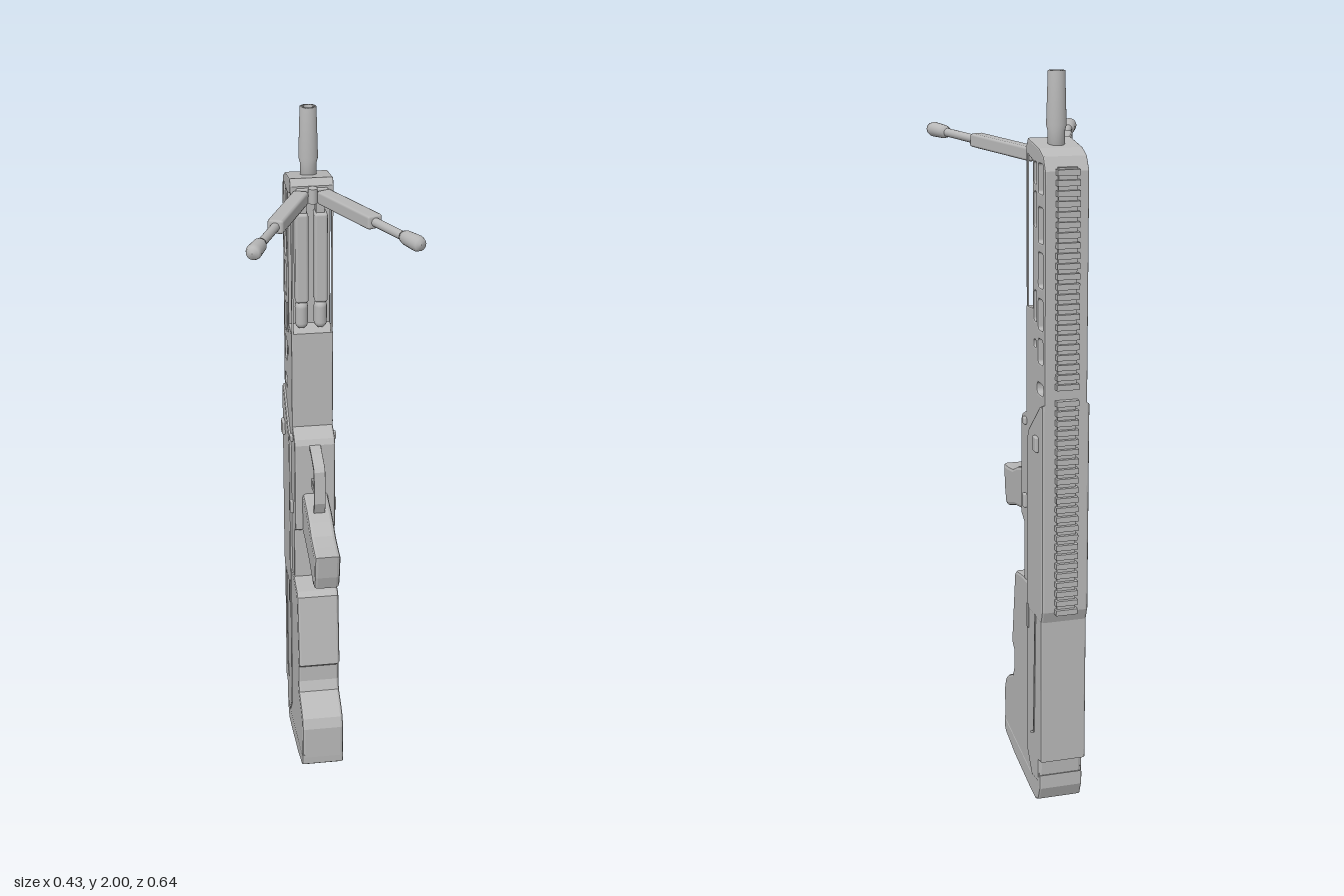
import * as THREE from 'three';
import { RoundedBoxGeometry } from 'three/addons/geometries/RoundedBoxGeometry.js';

export function createModel() {
  const model = new THREE.Group();
  model.name = 'rifle';
  const grey = new THREE.MeshStandardMaterial({ color: 0xb8b8b8 });
  grey.name = 'plain grey';

  const add = (name, geometry, x = 0, y = 0, z = 0, parent = model) => {
    const mesh = new THREE.Mesh(geometry, grey);
    mesh.name = name;
    mesh.position.set(x, y, z);
    parent.add(mesh);
    return mesh;
  };
  const box = (name, w, h, d, x, y, z, r = 0) =>
    add(name, r ? new RoundedBoxGeometry(w, h, d, 2, r) : new THREE.BoxGeometry(w, h, d), x, y, z);

  // Side outline given as [z, y], extruded across x and centred
  const profile = (name, points, half, bevel = 0.006, holes = [], x = 0) => {
    const shape = new THREE.Shape(points.map(p => new THREE.Vector2(...p)));
    shape.holes.push(...holes);
    const g = new THREE.ExtrudeGeometry(shape, {
      depth: 2 * (half - bevel), bevelEnabled: bevel > 0, bevelThickness: bevel,
      bevelSize: bevel, bevelOffset: -bevel, bevelSegments: 2, curveSegments: 8,
    });
    g.translate(0, 0, -(half - bevel));
    g.rotateY(-Math.PI / 2);
    return add(name, g, x);
  };

  // Rounded slot between z0..z1 and y0..y1
  const slot = (z0, z1, y0, y1, r = 0.008) => {
    const p = new THREE.Path();
    p.moveTo(z0 + r, y0);
    p.lineTo(z1 - r, y0); p.quadraticCurveTo(z1, y0, z1, y0 + r);
    p.lineTo(z1, y1 - r); p.quadraticCurveTo(z1, y1, z1 - r, y1);
    p.lineTo(z0 + r, y1); p.quadraticCurveTo(z0, y1, z0, y1 - r);
    p.lineTo(z0, y0 + r); p.quadraticCurveTo(z0, y0, z0 + r, y0);
    return p;
  };

  // Handguard with lightening slots and the notch for the folded grips
  const slots = [[1.70, 1.775], [1.575, 1.665], [1.46, 1.55], [1.35, 1.43], [1.26, 1.325]]
    .map(([a, b]) => slot(-0.283, -0.243, a, b));
  slots.push(slot(-0.226, -0.206, 1.61, 1.70), slot(-0.226, -0.206, 1.365, 1.445),
    slot(-0.226, -0.206, 1.72, 1.775), slot(-0.224, -0.204, 1.295, 1.315, 0.009),
    slot(-0.288, -0.233, 1.178, 1.208, 0.014));
  profile('handguard', [[-0.135, 1.08], [-0.135, 1.39], [-0.196, 1.395], [-0.196, 1.775],
    [-0.137, 1.79], [-0.137, 1.81], [-0.15, 1.828], [-0.25, 1.812], [-0.285, 1.795],
    [-0.305, 1.76], [-0.305, 1.08]], 0.058, 0.004, slots);

  // Barrel and muzzle
  add('barrel', new THREE.CylinderGeometry(0.010, 0.010, 0.66, 20), 0, 1.5, -0.21);
  add('muzzle', new THREE.LatheGeometry([[0, 1.79], [0.022, 1.79], [0.022, 1.85], [0.026, 1.865],
    [0.022, 2], [0.012, 2], [0.012, 1.93], [0, 1.93]].map(p => new THREE.Vector2(...p)), 28), 0, 0, -0.21);

  // Receiver core and the wider shell behind it
  profile('receiver', [[-0.108, 0.58], [-0.11, 0.78], [-0.08, 0.80], [-0.083, 1.07], [-0.092, 1.085],
    [-0.135, 1.105], [-0.135, 1.12], [-0.28, 1.14], [-0.28, 0.58]], 0.058);
  profile('receiverShell', [[-0.157, 0.55], [-0.157, 1.03], [-0.175, 1.065], [-0.275, 1.15],
    [-0.305, 1.16], [-0.305, 0.585], [-0.292, 0.55]], 0.065, 0.007);

  // Stock body, raised rear panel and butt pad
  profile('stock', [[-0.105, 0.622], [-0.04, 0.612], [-0.025, 0.60], [0.008, 0.38], [-0.013, 0.362],
    [-0.013, 0.31], [0, 0.28], [0.05, 0.255], [0.075, 0.235], [0.087, 0.205], [0.087, 0.10],
    [-0.20, 0.05], [-0.265, 0.06], [-0.268, 0.13], [-0.285, 0.14], [-0.285, 0.622]], 0.061, 0.008);
  profile('stockPanel', [[-0.157, 0.565], [-0.157, 0.125], [-0.205, 0.062], [-0.262, 0.068],
    [-0.265, 0.135], [-0.293, 0.14], [-0.293, 0.565]], 0.064, 0.005);
  profile('buttPad', [[0.087, 0.11], [0.085, 0.075], [0.07, 0.062], [-0.02, 0.035], [-0.175, 0.007],
    [-0.235, 0.0], [-0.258, 0.012], [-0.274, 0.05], [-0.274, 0.09], [-0.2, 0.065]], 0.062, 0.006);

  // Grip
  profile('grip', [[0.177, 0.862], [0.168, 0.79], [0.155, 0.748], [0.135, 0.746], [0.06, 0.77],
    [-0.03, 0.785], [-0.10, 0.785], [-0.10, 0.92], [-0.075, 0.915], [0.0, 0.905], [0.04, 0.893],
    [0.085, 0.873], [0.13, 0.866]], 0.036, 0.01);
  box('magazineCatch', 0.034, 0.07, 0.05, 0, 0.755, -0.088, 0.008);

  // Trigger and its guard: bands following a bent outline
  profile('triggerGuard', [[-0.09, 1.072], [-0.05, 1.062], [0.002, 1.047], [0.012, 1.035],
    [0.021, 0.94], [0.006, 0.9], [-0.004, 0.905], [0.01, 0.942], [0.002, 1.03],
    [-0.005, 1.037], [-0.05, 1.052], [-0.09, 1.058]], 0.016, 0.002);
  profile('trigger', [[-0.09, 0.967], [-0.04, 0.955], [-0.012, 0.96], [-0.01, 0.95],
    [-0.04, 0.938], [-0.09, 0.935]], 0.01, 0.002);

  // Top rails with cross teeth
  for (const [y0, y1] of [[0.58, 1.165], [1.20, 1.77]]) {
    box('railBase', 0.05, y1 - y0, 0.014, 0, (y0 + y1) / 2, -0.305);
    for (let y = y0 + 0.008; y < y1; y += 0.0262)
      box('railTooth', 0.06, 0.015, 0.02, 0, y, -0.312);
  }

  // Folded grips, side strips and small controls on both sides
  for (const s of [-1, 1]) {
    box('foldedGrip', 0.036, 0.255, 0.046, s * 0.026, 1.603, -0.165, 0.008);
    box('foldedGripNeck', 0.022, 0.07, 0.026, s * 0.024, 1.76, -0.165);
    const tip = add('foldedGripTip', new THREE.CapsuleGeometry(0.019, 0.045, 5, 16), s * 0.026, 1.437, -0.165);
    tip.scale.set(0.95, 1, 1.1);
    box('sideStrip', 0.005, 0.41, 0.006, s * 0.054, 1.588, -0.139);
    box('ejectorButton', 0.012, 0.042, 0.03, s * 0.068, 1.045, -0.257, 0.004);
    box('safetyLever', 0.012, 0.04, 0.018, s * 0.061, 0.85, -0.131, 0.004);
    box('selectorPin', 0.012, 0.02, 0.02, s * 0.06, 1.075, -0.13, 0.004);
    profile('panelRib', [[-0.24, 0.56], [-0.246, 0.56], [-0.233, 0.205], [-0.205, 0.19],
      [-0.205, 0.197], [-0.227, 0.208]], 0.002, 0, [], s * 0.0645);
    box('panelTab', 0.005, 0.07, 0.012, s * 0.064, 0.53, -0.172);
  }

  // Bipod hub and legs
  const hub = add('bipodHub', new THREE.CylinderGeometry(0.014, 0.014, 0.04, 16), 0, 1.79, -0.122);
  hub.scale.x = 0.9;
  box('bipodMount', 0.085, 0.03, 0.035, 0, 1.79, -0.147, 0.005);
  for (const s of [-1, 1]) {
    const leg = new THREE.Group();
    leg.name = 'bipodLeg';
    leg.position.set(s * 0.03, 1.783, -0.13);
    const dir = new THREE.Vector3(s * 0.173, 0.029, 0.442).normalize();
    const side = new THREE.Vector3(dir.z, 0, -dir.x).normalize();
    leg.quaternion.setFromRotationMatrix(
      new THREE.Matrix4().makeBasis(side, dir, side.clone().cross(dir)));
    add('legSleeve', new RoundedBoxGeometry(0.042, 0.266, 0.036, 1, 0.007), 0, 0.131, 0, leg);
    add('legRod', new THREE.CylinderGeometry(0.0115, 0.0115, 0.17, 18), 0, 0.335, 0, leg);
    add('legFoot', new THREE.LatheGeometry([[0, 0.396], [0.014, 0.396], [0.018, 0.41], [0.02, 0.46],
      [0.016, 0.473], [0, 0.476]].map(p => new THREE.Vector2(...p)), 20), 0, 0, 0, leg);
    model.add(leg);
  }

  return model;
}
